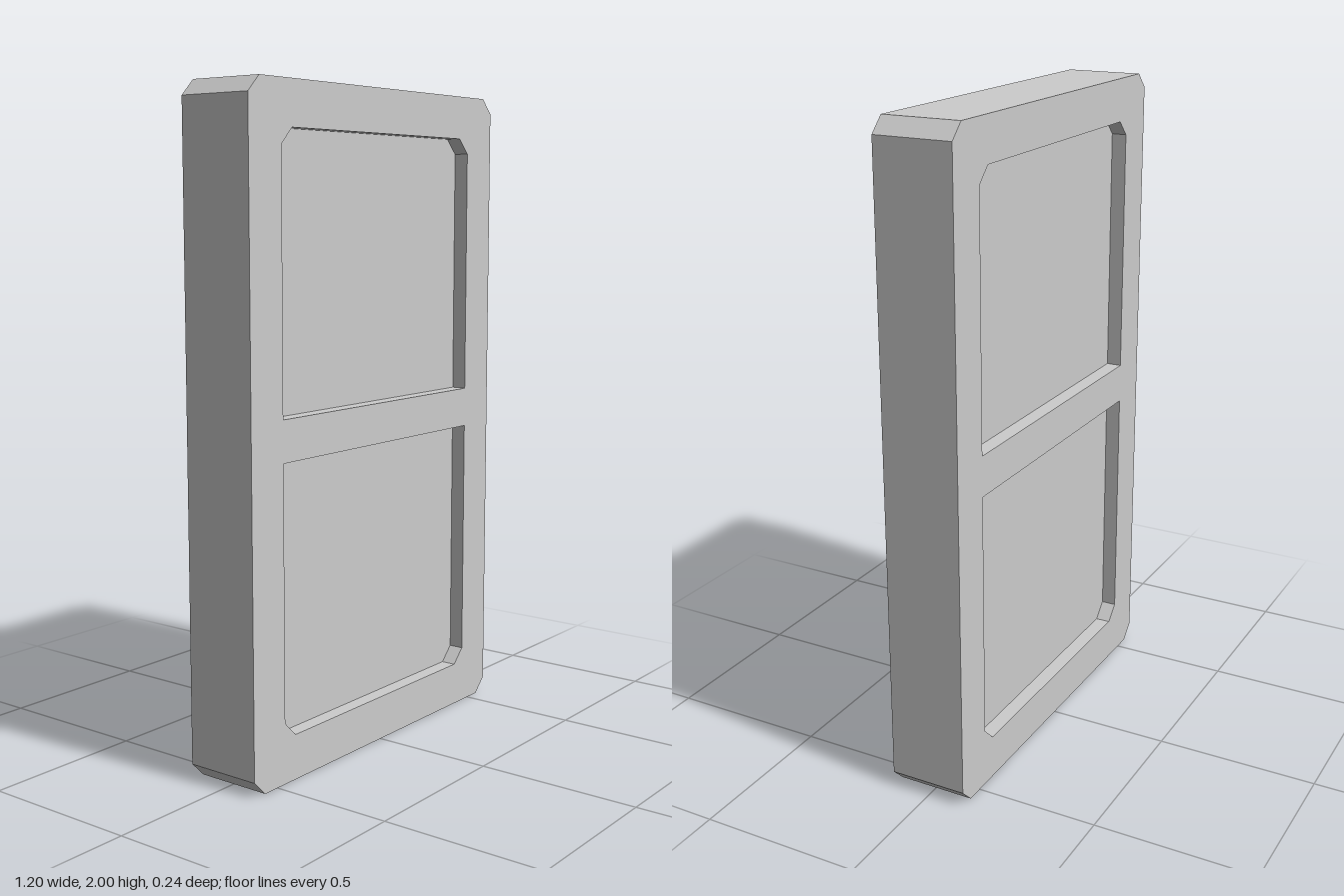
import * as THREE from 'three';

const HALF_DEPTH = 0.12;
const RECESS = 0.047;
const CHAMFER = 0.046;

// Rectangle outline whose top and/or bottom corners are cut at 45 degrees
function cutRect(halfWidth, bottom, top, cutBottom, cutTop) {
  const w = halfWidth, b = cutBottom, t = cutTop;
  const corners = [
    [-w + b, bottom], [w - b, bottom], [w, bottom + b],
    [w, top - t], [w - t, top], [-w + t, top],
    [-w, top - t], [-w, bottom + b],
  ].map(([x, y]) => new THREE.Vector2(x, y));
  // Drop the doubled points of square corners
  return corners.filter((p, i) => !p.equals(corners[(i + 1) % corners.length]));
}

function slab(name, shape, halfDepth, material) {
  const geometry = new THREE.ExtrudeGeometry(shape, { depth: halfDepth * 2, bevelEnabled: false });
  geometry.translate(0, 0, -halfDepth);
  const mesh = new THREE.Mesh(geometry, material);
  mesh.name = name;
  return mesh;
}

export function createModel() {
  const group = new THREE.Group();
  group.name = 'twoPanelSlab';
  const material = new THREE.MeshStandardMaterial({ color: 0xcccccc, flatShading: true });

  const openings = [
    { name: 'upperPanel', outline: cutRect(0.464, 1.064, 1.868, 0, CHAMFER) },
    { name: 'lowerPanel', outline: cutRect(0.464, 0.136, 0.94, CHAMFER, 0) },
  ];

  // Outer frame with the crossbar between the two openings
  const frame = new THREE.Shape(cutRect(0.6, 0, 2, CHAMFER, CHAMFER));
  openings.forEach(({ outline }) => frame.holes.push(new THREE.Path(outline)));
  group.add(slab('frame', frame, HALF_DEPTH, material));

  // Panels set back from the frame on both faces
  openings.forEach(({ name, outline }) => {
    group.add(slab(name, new THREE.Shape(outline), HALF_DEPTH - RECESS, material));
  });

  return group;
}
